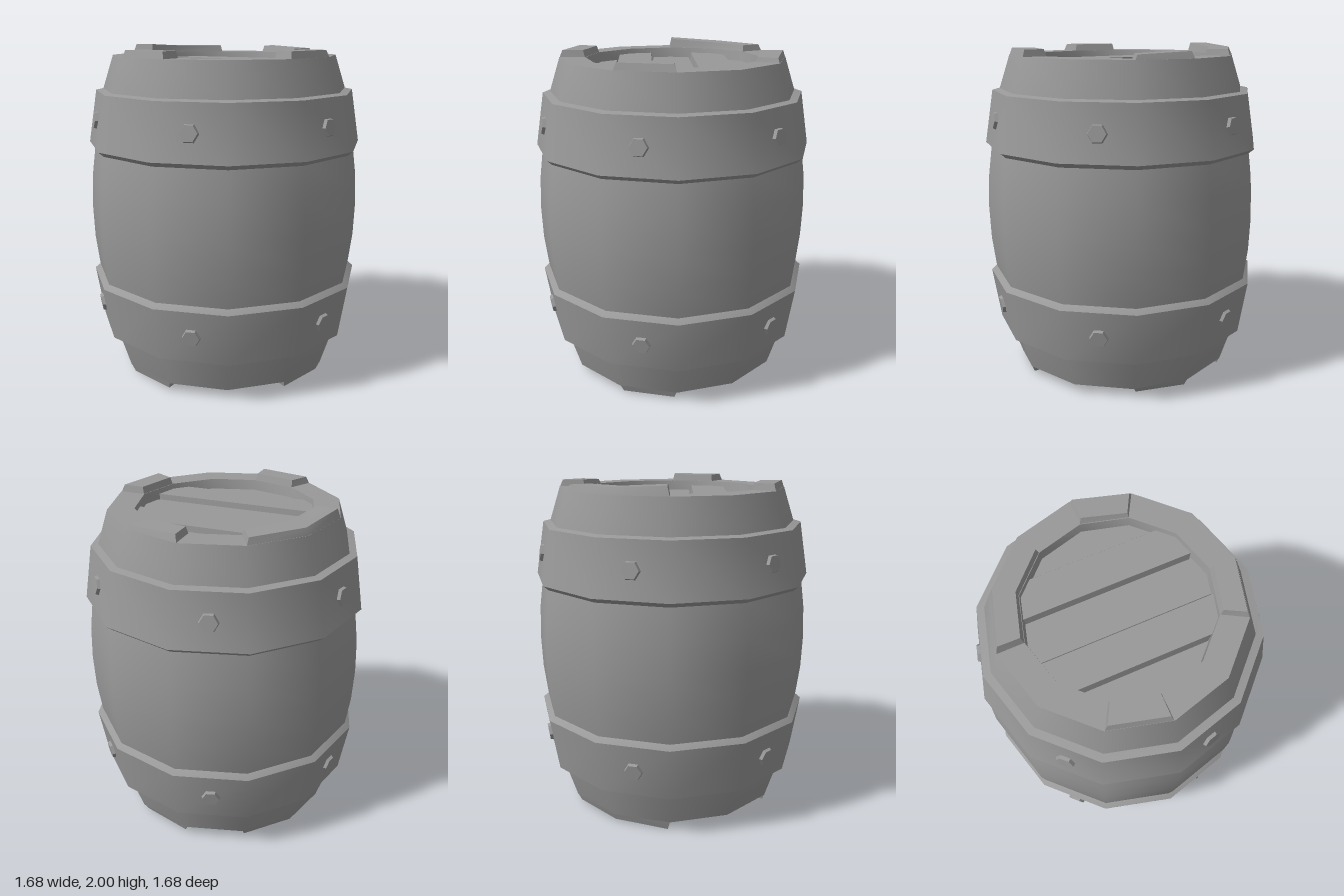
import * as THREE from 'three';
import { toCreasedNormals } from 'three/addons/utils/BufferGeometryUtils.js';

const SIDES = 12, RIM = 1.945, STEP = Math.PI / 6;
const material = new THREE.MeshStandardMaterial({ color: 0x999999 });
const pts = list => list.map(([r, y]) => new THREE.Vector2(r, y));

// Mesh with creased normals; mirrored = reflected about the mid height y = 1
function part(name, geo, mirrored = false) {
  if (mirrored) {
    geo.scale(1, -1, 1).translate(0, 2, 0);
    geo.setIndex(Array.from(geo.index.array).reverse());
  }
  const mesh = new THREE.Mesh(toCreasedNormals(geo, 0.6), material);
  mesh.name = name;
  return mesh;
}

// Raised stave end: a block swept along the rim; angles run from +x towards +z
function staveEnd(first, heights) {
  const pos = [], idx = [], last = heights.length - 1;
  heights.forEach((h, i) => {
    const a = (first + i) * STEP;
    const inset = i === 0 ? 0.022 : i === last ? -0.022 : 0; // slanted ends
    const corners = [[0.525, RIM - 0.01, 0], [0.682, RIM - 0.01, 0], [0.662, h, inset], [0.538, h, inset]];
    for (const [r, y, d] of corners) pos.push(r * Math.cos(a + d), y, r * Math.sin(a + d));
  });
  for (let i = 0; i < last; i++) {
    for (let k = 0; k < 4; k++) {
      const a = i * 4 + k, b = i * 4 + (k + 1) % 4;
      idx.push(a, b, a + 4, b, b + 4, a + 4);
    }
  }
  const e = last * 4;
  idx.push(0, 2, 1, 0, 3, 2, e, e + 1, e + 2, e, e + 2, e + 3);
  const geo = new THREE.BufferGeometry();
  geo.setAttribute('position', new THREE.Float32BufferAttribute(pos, 3));
  geo.setIndex(idx);
  return geo;
}

// Flat hexagonal bolt head lying on a band face
function bolt(phi) {
  return new THREE.CylinderGeometry(0.05, 0.063, 0.04, 6)
    .rotateY(Math.PI / 6).rotateX(Math.PI / 2 - 0.15)
    .translate(0, 1.573, 0.787).rotateY(phi);
}

// Head plank between two z positions, its long top edges slightly chamfered
function plank(z0, z1, length, top) {
  const bottom = 1.84;
  const geo = new THREE.BoxGeometry(length, top - bottom, z1 - z0);
  const p = geo.attributes.position;
  for (let i = 0; i < p.count; i++) {
    if (p.getY(i) > 0) p.setZ(i, p.getZ(i) - 0.008 * Math.sign(p.getZ(i)));
  }
  return geo.translate(0, (top + bottom) / 2, (z0 + z1) / 2);
}

export function createModel() {
  const group = new THREE.Group();

  // Bulging body with a recessed head at each end
  const upper = [[0.842, 1], [0.834, 1.2], [0.808, 1.4], [0.745, 1.745], [0.68, RIM], [0.525, RIM], [0.51, 1.85], [0, 1.85]];
  const lower = upper.slice(1).reverse().map(([r, y]) => [r, 2 - y]);
  group.add(part('body', new THREE.LatheGeometry(pts([...lower, ...upper]), SIDES)));

  const bandProfile = pts([[0.806, 1.385], [0.842, 1.415], [0.79, 1.735], [0.742, 1.745]]);
  const raised = [
    [0, [1.985, 1.985]],
    [3, [1.985, 1.985]],
    [6, [2, 1.985, 1.982]],
    [9, [1.985, 1.972]],
  ];
  const seams = [-0.53, -0.35, -0.13, 0.12, 0.34, 0.53];

  for (const mirrored of [false, true]) {
    const end = new THREE.Group();
    end.name = mirrored ? 'lowerEnd' : 'upperEnd';

    end.add(part('band', new THREE.LatheGeometry(bandProfile, SIDES), mirrored));
    for (let k = 0; k < 6; k++) {
      end.add(part('bolt', bolt(Math.PI / 12 + k * Math.PI / 3), mirrored));
    }
    for (const [first, heights] of raised) {
      end.add(part('staveEnd', staveEnd(first, heights), mirrored));
    }

    // Planks alternate in height, their ends buried in the rim
    for (let i = 0; i < 5; i++) {
      const length = i === 0 || i === 4 ? 0.84 : 1.1;
      const top = i % 2 ? 1.915 : 1.885;
      end.add(part('headPlank', plank(seams[i], seams[i + 1], length, top), mirrored));
    }
    group.add(end);
  }
  return group;
}
